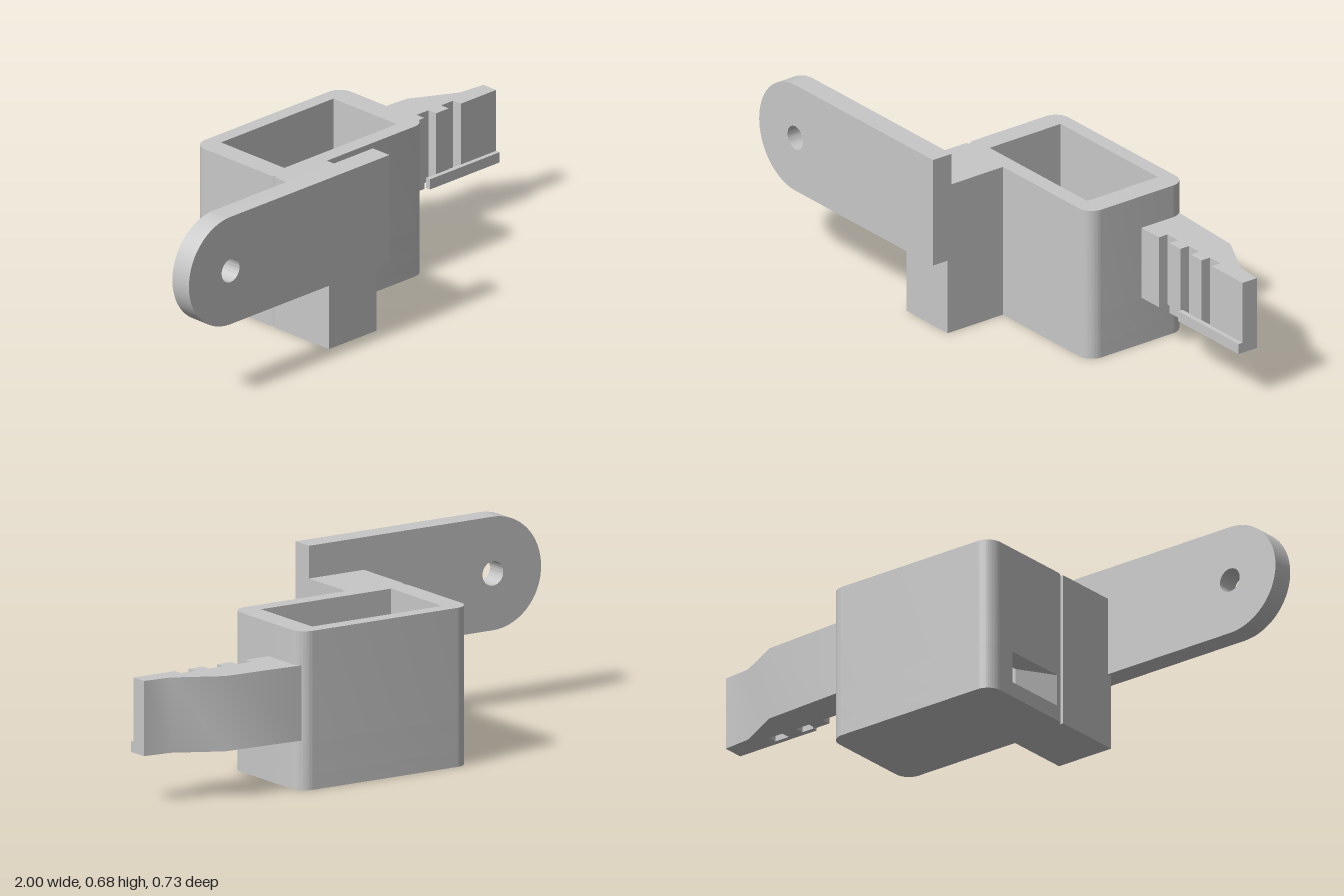
import * as THREE from 'three';
import { toCreasedNormals } from 'three/addons/utils/BufferGeometryUtils.js';

const grey = new THREE.MeshStandardMaterial({ color: 0xc8c8c8 });
grey.name = 'light grey';

// Housing outline in plan; the shape's y is -z.
const X0 = -0.265, X1 = 0.44, S0 = -0.058, S1 = 0.363, R = 0.055;
const FLOOR = 0.055, WINDOW_TOP = 0.17, TOP = 0.56;
const cavity = [[-0.185, 0], [0.355, 0], [0.355, 0.309], [-0.185, 0.309]];
const windowS = [0.125, 0.24];

// Walks the rounded outline anticlockwise from the left wall at sStart back to it at sEnd.
function outline(sStart, sEnd) {
  const s = new THREE.Shape();
  s.moveTo(X0, sStart);
  s.absarc(X0 + R, S0 + R, R, Math.PI, Math.PI * 1.5);
  s.absarc(X1 - R, S0 + R, R, -Math.PI / 2, 0);
  s.absarc(X1 - R, S1 - R, R, 0, Math.PI / 2);
  s.absarc(X0 + R, S1 - R, R, Math.PI / 2, Math.PI);
  s.lineTo(X0, sEnd);
  return s;
}

const points = (list) => list.map(([x, y]) => new THREE.Vector2(x, y));

function addMesh(parent, name, geometry) {
  const mesh = new THREE.Mesh(toCreasedNormals(geometry, 0.5), grey);
  mesh.name = name;
  parent.add(mesh);
}

// Extrudes a plan shape upward between two heights.
function addPlan(parent, name, shape, y0, y1) {
  const g = new THREE.ExtrudeGeometry(shape, { depth: y1 - y0, bevelEnabled: false, curveSegments: 12 });
  addMesh(parent, name, g.rotateX(-Math.PI / 2).translate(0, y0, 0));
}

function addBox(parent, name, x0, x1, y0, y1, z0, z1) {
  const g = new THREE.BoxGeometry(x1 - x0, y1 - y0, z1 - z0);
  addMesh(parent, name, g.translate((x0 + x1) / 2, (y0 + y1) / 2, (z0 + z1) / 2));
}

export function createModel() {
  const model = new THREE.Group();
  model.name = 'clipBracket';

  // Open-topped housing: floor, wall course with a side window, upper walls
  const housing = new THREE.Group();
  housing.name = 'housing';
  model.add(housing);
  addPlan(housing, 'housingFloor', outline(0.1, 0.1), 0, FLOOR);

  const lower = outline(...windowS);
  const [c0, c1, c2, c3] = cavity;
  for (const [x, s] of [[c3[0], windowS[1]], c3, c2, c1, c0, [c0[0], windowS[0]]]) {
    lower.lineTo(x, s);
  }
  addPlan(housing, 'windowedWalls', lower, FLOOR, WINDOW_TOP);

  const upper = outline(0.1, 0.1);
  upper.holes.push(new THREE.Path(points(cavity)));
  addPlan(housing, 'upperWalls', upper, WINDOW_TOP, TOP);

  // Block joining the housing to the mounting plate
  addBox(model, 'connectingBlock', X0, -0.037, 0, TOP, 0.037, 0.299);

  // Mounting plate with a rounded end and a screw hole
  const plate = new THREE.Shape();
  plate.moveTo(-0.037, 0.275);
  plate.lineTo(-0.037, 0.675);
  plate.absarc(-0.8, 0.475, 0.2, Math.PI / 2, Math.PI * 1.5);
  plate.closePath();
  const hole = new THREE.Path();
  hole.absarc(-0.8, 0.475, 0.043, 0, Math.PI * 2);
  plate.holes.push(hole);
  const plateGeometry = new THREE.ExtrudeGeometry(plate, { depth: 0.081, bevelEnabled: false, curveSegments: 32 });
  addMesh(model, 'mountingPlate', plateGeometry.translate(0, 0, 0.282));

  // Tapered tongue with three grooves on its front
  const tongue = [[0.41, 0.17]];
  for (const [a, b] of [[0.537, 0.595], [0.655, 0.712], [0.772, 0.83]]) {
    tongue.push([a, 0.17], [a, 0.207], [b, 0.207], [b, 0.17]);
  }
  tongue.push([1, 0.17], [1, 0.232], [0.895, 0.242], [0.73, 0.33], [0.41, 0.347]);
  addPlan(model, 'groovedTongue', new THREE.Shape(points(tongue)), 0.175, 0.44);

  // Thin ledge along the tongue's lower edge
  addBox(model, 'tongueLedge', 0.665, 1, 0.175, 0.213, -0.172, -0.153);

  return model;
}
